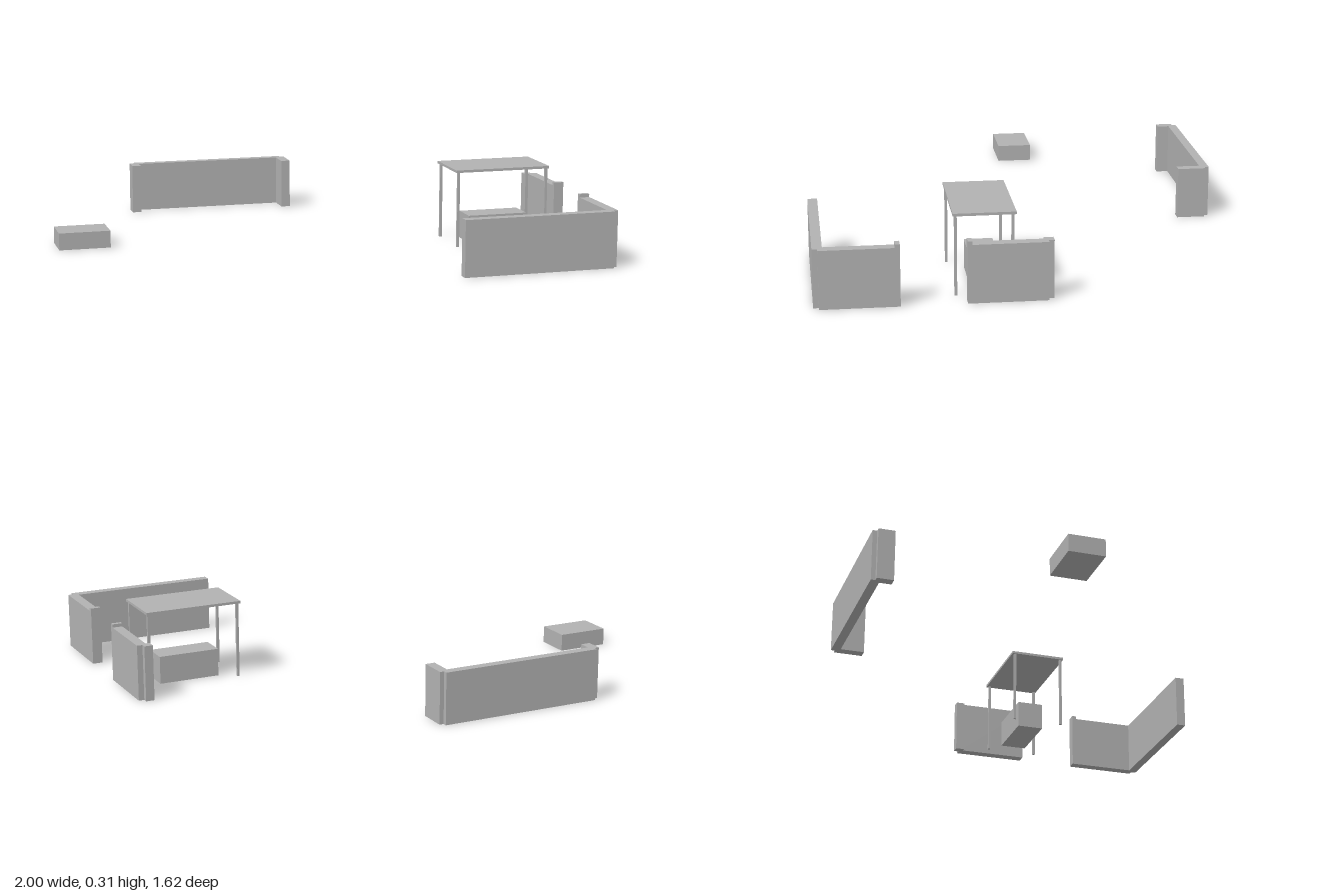
import * as THREE from 'three';

export function createModel() {
  const model = new THREE.Group();
  model.name = 'furnishedWalls';
  const grey = new THREE.MeshStandardMaterial({ color: 0xb2b2b2 });
  grey.name = 'plain grey';

  // Box given by its extents along x, y and z
  const block = (parent, name, [x0, x1], [y0, y1], [z0, z1]) => {
    const mesh = new THREE.Mesh(new THREE.BoxGeometry(x1 - x0, y1 - y0, z1 - z0), grey);
    mesh.position.set((x0 + x1) / 2, (y0 + y1) / 2, (z0 + z1) / 2);
    mesh.name = name;
    parent.add(mesh);
  };
  const section = (name) => {
    const group = new THREE.Group();
    group.name = name;
    model.add(group);
    return group;
  };

  // Long back wall with a short return at each end
  const back = section('backWall');
  const backH = [0, 0.203];
  block(back, 'backPanel', [-0.562, 0.09], backH, [-0.81, -0.775]);
  block(back, 'backRightReturn', [-0.582, -0.545], backH, [-0.793, -0.728]);
  block(back, 'backLeftReturn', [0.069, 0.107], backH, [-0.793, -0.682]);

  // Corner of front wall and side wall
  const wallH = [0, 0.219], sideX = [0.957, 0.997];
  const corner = section('frontCornerWall');
  block(corner, 'frontPanel', [0.379, 0.977], wallH, [0.77, 0.807]);
  block(corner, 'sidePanel', sideX, wallH, [0.499, 0.787]);
  block(corner, 'sidePanelLip', sideX, [0.219, 0.232], [0.499, 0.517]);

  // Side wall on the other side of the opening
  const side = section('sideWall');
  block(side, 'sideWallPanel', sideX, wallH, [-0.031, 0.26]);
  block(side, 'sideWallLip', sideX, [0.219, 0.232], [0.243, 0.26]);
  block(side, 'sideWallReturn', [0.941, 0.975], wallH, [-0.052, -0.016]);

  // Table on four thin legs
  const table = section('table');
  block(table, 'tableTop', [0.524, 0.915], [0.3, 0.31], [0.076, 0.305]);
  for (const x of [0.53, 0.9]) {
    for (const z of [0.084, 0.29]) {
      block(table, 'tableLeg', [x, x + 0.01], [0, 0.3], [z, z + 0.01]);
    }
  }

  // Low boxes on the floor
  block(model, 'boxUnderTable', [0.603, 0.848], [0, 0.11], [0.128, 0.235]);
  block(model, 'lowBox', [-1, -0.795], [0, 0.068], [-0.203, -0.062]);

  return model;
}
